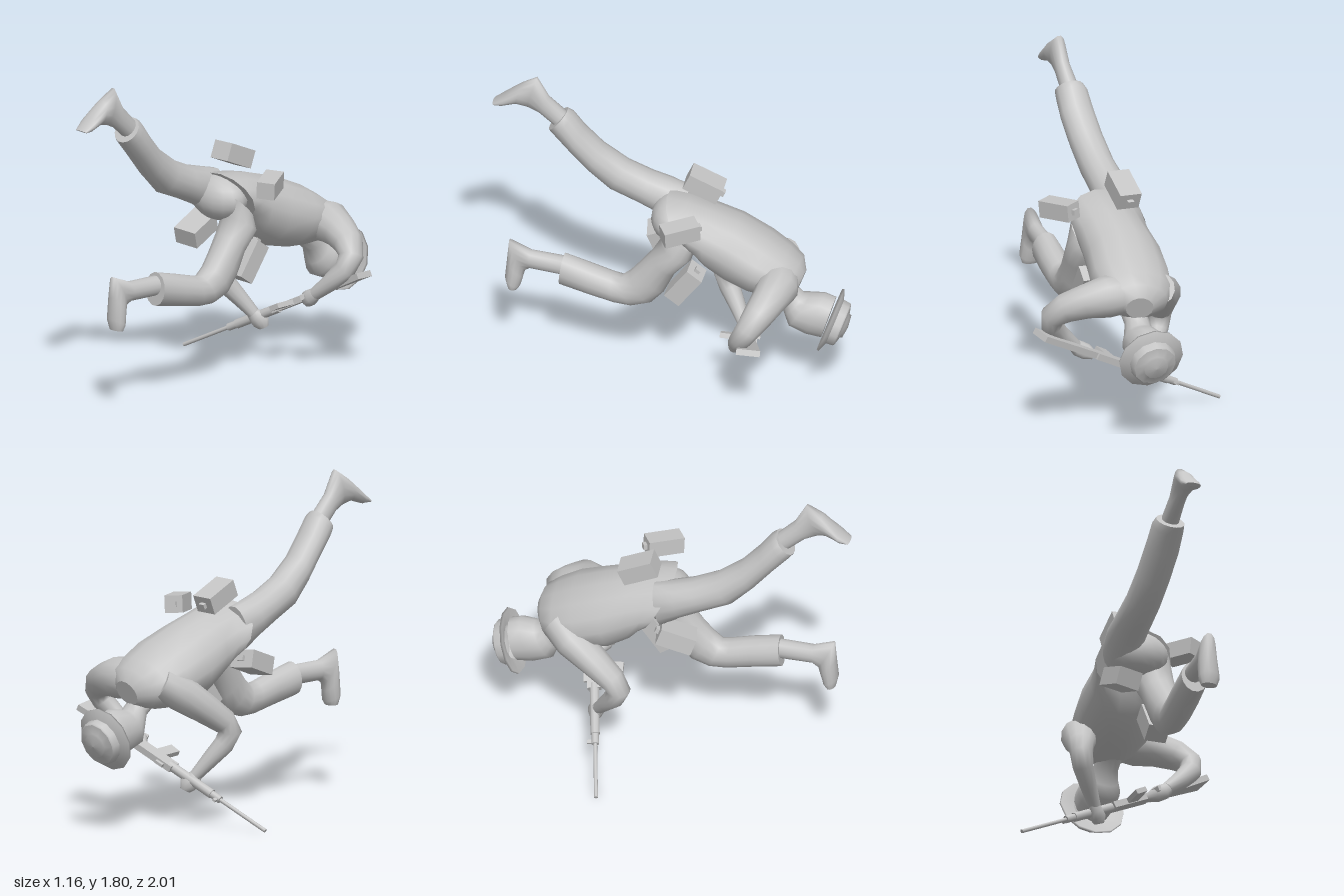
import * as THREE from 'three';

const V = (x, y, z) => new THREE.Vector3(x, y, z);

export function createModel() {
  const model = new THREE.Group();
  const grey = new THREE.MeshStandardMaterial({ color: 0xc4c4c4, side: THREE.DoubleSide });
  grey.name = 'plain grey';

  function add(name, geometry, parent = model) {
    const mesh = new THREE.Mesh(geometry, grey);
    mesh.name = name;
    parent.add(mesh);
    return mesh;
  }

  // Skin over elliptical rings {c, u, v}, with flat caps
  function skin(rings, n = 14) {
    const pos = [], idx = [];
    const ringPoints = (r) => {
      for (let k = 0; k < n; k++) {
        const a = (k / n) * Math.PI * 2;
        const p = r.c.clone().addScaledVector(r.u, Math.cos(a)).addScaledVector(r.v, Math.sin(a));
        pos.push(p.x, p.y, p.z);
      }
    };
    rings.forEach(ringPoints);
    for (let i = 0; i < rings.length - 1; i++) {
      for (let k = 0; k < n; k++) {
        const a = i * n + k, b = i * n + ((k + 1) % n);
        idx.push(a, b, b + n, a, b + n, a + n);
      }
    }
    [rings[0], rings[rings.length - 1]].forEach((r, end) => {
      const s = pos.length / 3;
      ringPoints(r);
      pos.push(r.c.x, r.c.y, r.c.z);
      for (let k = 0; k < n; k++) {
        const a = s + k, b = s + ((k + 1) % n);
        if (end) idx.push(a, b, s + n); else idx.push(b, a, s + n);
      }
    });
    // Turn the faces outward if the rings run the other way
    let volume = 0;
    const at = (i) => V(pos[i * 3], pos[i * 3 + 1], pos[i * 3 + 2]);
    for (let i = 0; i < idx.length; i += 3) volume += at(idx[i]).dot(at(idx[i + 1]).cross(at(idx[i + 2])));
    if (volume < 0) idx.reverse();
    const g = new THREE.BufferGeometry();
    g.setAttribute('position', new THREE.Float32BufferAttribute(pos, 3));
    g.setIndex(idx);
    g.computeVertexNormals();
    return g;
  }

  // Side-profile sections: [x, half width, z and y of one edge, z and y of the other]
  const profile = (sections, roll = 0) => skin(sections.map(([x, w, za, ya, zb, yb]) => ({
    c: V(x, (ya + yb) / 2, (za + zb) / 2),
    u: V(w, roll * w, 0),
    v: V(0, (ya - yb) / 2, (za - zb) / 2),
  })));

  // Round limb: [x, y, z, radius]
  function limb(points, flat = 1) {
    const ps = points.map((p) => V(p[0], p[1], p[2]));
    return skin(points.map((p, i) => {
      const t = ps[Math.min(i + 1, ps.length - 1)].clone().sub(ps[Math.max(i - 1, 0)]).normalize();
      const u = V(0.3, 0.2, 1).cross(t).normalize();
      return { c: ps[i], u: u.clone().multiplyScalar(p[3]), v: t.clone().cross(u).multiplyScalar(p[3] * flat) };
    }), 12);
  }

  // Jacket and pelvis
  add('jacket', profile([
    [-0.01, 0.215, 0.02, 1.17, -0.15, 0.87],
    [0, 0.21, -0.1, 1.16, -0.17, 0.82],
    [0, 0.205, -0.22, 1.13, -0.21, 0.76],
    [0, 0.22, -0.38, 1.08, -0.32, 0.69],
    [0.02, 0.23, -0.55, 1.0, -0.45, 0.66],
    [0.03, 0.21, -0.66, 0.93, -0.58, 0.65],
    [0.04, 0.165, -0.73, 0.88, -0.66, 0.66],
    [0.05, 0.08, -0.755, 0.81, -0.71, 0.68],
  ], 0.12));
  const pelvis = add('pelvis', new THREE.SphereGeometry(1, 16, 12));
  pelvis.scale.set(0.18, 0.13, 0.13);
  pelvis.position.set(-0.01, 1.03, -0.02);

  // Raised right leg
  add('rightTrouserLeg', profile([
    [-0.1, 0.09, -0.08, 1.16, -0.03, 0.9],
    [-0.1, 0.105, 0.03, 1.19, 0.08, 0.98],
    [-0.095, 0.1, 0.13, 1.22, 0.2, 1.04],
    [-0.085, 0.095, 0.26, 1.28, 0.36, 1.11],
    [-0.07, 0.095, 0.4, 1.38, 0.47, 1.22],
    [-0.055, 0.095, 0.5, 1.49, 0.58, 1.35],
    [-0.05, 0.09, 0.56, 1.575, 0.66, 1.44],
    [-0.045, 0.08, 0.59, 1.595, 0.69, 1.475],
  ]));
  add('rightBoot', profile([
    [-0.045, 0.05, 0.57, 1.56, 0.65, 1.49],
    [-0.035, 0.042, 0.69, 1.68, 0.745, 1.57],
    [-0.03, 0.045, 0.755, 1.8, 0.81, 1.6],
    [-0.03, 0.055, 0.84, 1.745, 0.87, 1.615],
    [-0.035, 0.058, 0.93, 1.665, 0.95, 1.59],
    [-0.035, 0.042, 1.0, 1.607, 0.98, 1.594],
  ]));

  // Bent left leg
  add('leftTrouserLeg', profile([
    [0.09, 0.1, 0.04, 1.08, -0.14, 0.9],
    [0.105, 0.11, 0.03, 0.95, -0.14, 0.84],
    [0.11, 0.1, 0.08, 0.86, -0.05, 0.74],
    [0.115, 0.09, 0.15, 0.77, 0.01, 0.61],
    [0.12, 0.085, 0.2, 0.71, 0.08, 0.53],
    [0.12, 0.08, 0.25, 0.665, 0.18, 0.495],
    [0.12, 0.08, 0.3, 0.675, 0.28, 0.5],
    [0.12, 0.08, 0.42, 0.71, 0.42, 0.53],
    [0.115, 0.075, 0.57, 0.75, 0.59, 0.565],
  ]));
  add('leftBoot', profile([
    [0.11, 0.05, 0.55, 0.73, 0.55, 0.62],
    [0.1, 0.045, 0.76, 0.735, 0.76, 0.625],
    [0.095, 0.048, 0.88, 0.785, 0.79, 0.6],
    [0.095, 0.055, 0.89, 0.67, 0.8, 0.56],
    [0.1, 0.06, 0.9, 0.55, 0.815, 0.5],
    [0.1, 0.045, 0.885, 0.485, 0.83, 0.478],
  ]));

  // Arms and gripping hands
  add('rightSleeve', limb([
    [-0.1, 0.8, -0.62, 0.09], [-0.16, 0.74, -0.52, 0.1], [-0.2, 0.65, -0.39, 0.085],
    [-0.235, 0.57, -0.28, 0.072], [-0.245, 0.51, -0.24, 0.064], [-0.225, 0.44, -0.27, 0.057],
    [-0.17, 0.35, -0.33, 0.045], [-0.12, 0.27, -0.38, 0.034],
  ]));
  add('rightHand', limb([
    [-0.13, 0.28, -0.37, 0.03], [-0.11, 0.25, -0.39, 0.045], [-0.09, 0.22, -0.41, 0.05], [-0.08, 0.19, -0.42, 0.03],
  ], 0.8));
  add('leftSleeve', limb([
    [0.1, 0.8, -0.62, 0.11], [0.21, 0.8, -0.64, 0.115], [0.32, 0.775, -0.61, 0.095],
    [0.42, 0.74, -0.575, 0.082], [0.48, 0.685, -0.535, 0.068], [0.47, 0.62, -0.5, 0.06],
    [0.4, 0.54, -0.46, 0.05], [0.31, 0.46, -0.43, 0.036],
  ]));
  add('leftHand', limb([
    [0.33, 0.475, -0.43, 0.03], [0.29, 0.44, -0.42, 0.045], [0.25, 0.42, -0.43, 0.045], [0.21, 0.4, -0.45, 0.025],
  ], 0.8));

  // Neck and head
  add('head', profile([
    [0.045, 0.075, -0.62, 0.78, -0.56, 0.66],
    [0.045, 0.068, -0.71, 0.69, -0.62, 0.61],
    [0.045, 0.08, -0.745, 0.655, -0.64, 0.53],
    [0.045, 0.1, -0.78, 0.66, -0.665, 0.46],
    [0.045, 0.108, -0.86, 0.67, -0.76, 0.42],
    [0.045, 0.105, -0.92, 0.65, -0.85, 0.41],
  ]));

  // Brimmed hat, crown pointing along the head
  const hat = new THREE.Group();
  hat.name = 'hat';
  hat.position.set(0.045, 0.512, -0.9);
  hat.quaternion.setFromUnitVectors(V(0, 1, 0), V(0, -0.32, -0.95).normalize());
  model.add(hat);
  const lathe = (pts) => new THREE.LatheGeometry(pts.map((p) => new THREE.Vector2(...p)), 12);
  add('hatBrim', lathe([[0.1, 0.006], [0.18, -0.012], [0.183, 0], [0.125, 0.022]]), hat);
  add('hatCrown', lathe([[0.13, 0.01], [0.125, 0.058], [0.118, 0.066]]), hat);
  add('hatTop', lathe([[0.118, 0.066], [0.07, 0.078], [0.066, 0.09], [0, 0.098]]), hat);

  // Belt pouches: centre, size, rotation
  [
    ['leftBackPouch', [0.288, 1.137, -0.115], [0.1, 0.095, 0.2], [0.08, 0.55, -0.1]],
    ['backPouch', [-0.06, 1.225, -0.17], [0.125, 0.1, 0.2], [-0.42, 0.04, 0.05]],
    ['rightFrontPouch', [-0.12, 0.84, 0.05], [0.14, 0.1, 0.2], [0.35, 0.15, -0.15]],
    ['leftFrontPouch', [0.12, 0.68, -0.105], [0.12, 0.1, 0.22], [0.95, 0, 0]],
  ].forEach(([name, at, size, turn]) => {
    const pouch = new THREE.Group();
    pouch.name = name;
    pouch.position.set(...at);
    pouch.rotation.set(...turn);
    model.add(pouch);
    add(name + 'Body', new THREE.BoxGeometry(...size), pouch);
    add(name + 'Clasp', new THREE.BoxGeometry(0.035, 0.03, 0.02), pouch).position.set(0, 0, -size[2] / 2 - 0.01);
  });

  // Rifle: local x runs from muzzle to butt, local y is its upper side
  const rifle = new THREE.Group();
  rifle.name = 'rifle';
  const along = V(1.13, 0.585, -0.285).normalize();
  const up = V(0, 0, -1).addScaledVector(along, along.z).normalize();
  rifle.quaternion.setFromRotationMatrix(new THREE.Matrix4().makeBasis(along, up, along.clone().cross(up)));
  rifle.position.set(-0.57, 0.012, -0.29);
  model.add(rifle);
  const rod = (name, from, to, r) => {
    const m = add(name, new THREE.CylinderGeometry(r, r, to - from, 10), rifle);
    m.rotation.z = Math.PI / 2;
    m.position.x = (from + to) / 2;
  };
  const block = (name, x, y, l, h, w, tilt = 0) => {
    const m = add(name, new THREE.BoxGeometry(l, h, w), rifle);
    m.position.set(x, y, 0);
    m.rotation.z = tilt;
  };
  rod('barrel', 0, 0.4, 0.011);
  rod('gasBlock', 0.32, 0.39, 0.021);
  rod('handguard', 0.38, 0.68, 0.026);
  block('frontSight', 0.335, 0.025, 0.02, 0.04, 0.012);
  block('receiver', 0.78, 0, 0.26, 0.075, 0.036);
  block('rearSight', 0.72, 0.045, 0.05, 0.025, 0.016);
  block('magazine', 0.77, -0.095, 0.065, 0.13, 0.028, -0.12);
  block('grip', 0.92, -0.06, 0.04, 0.1, 0.03, 0.3);
  const outline = new THREE.Shape([[0.9, 0.025], [1.3, 0.05], [1.3, -0.08], [1.08, -0.035], [0.9, -0.03]]
    .map((p) => new THREE.Vector2(...p)));
  add('stock', new THREE.ExtrudeGeometry(outline, { depth: 0.034, bevelEnabled: false }).translate(0, 0, -0.017), rifle);
  return model;
}
